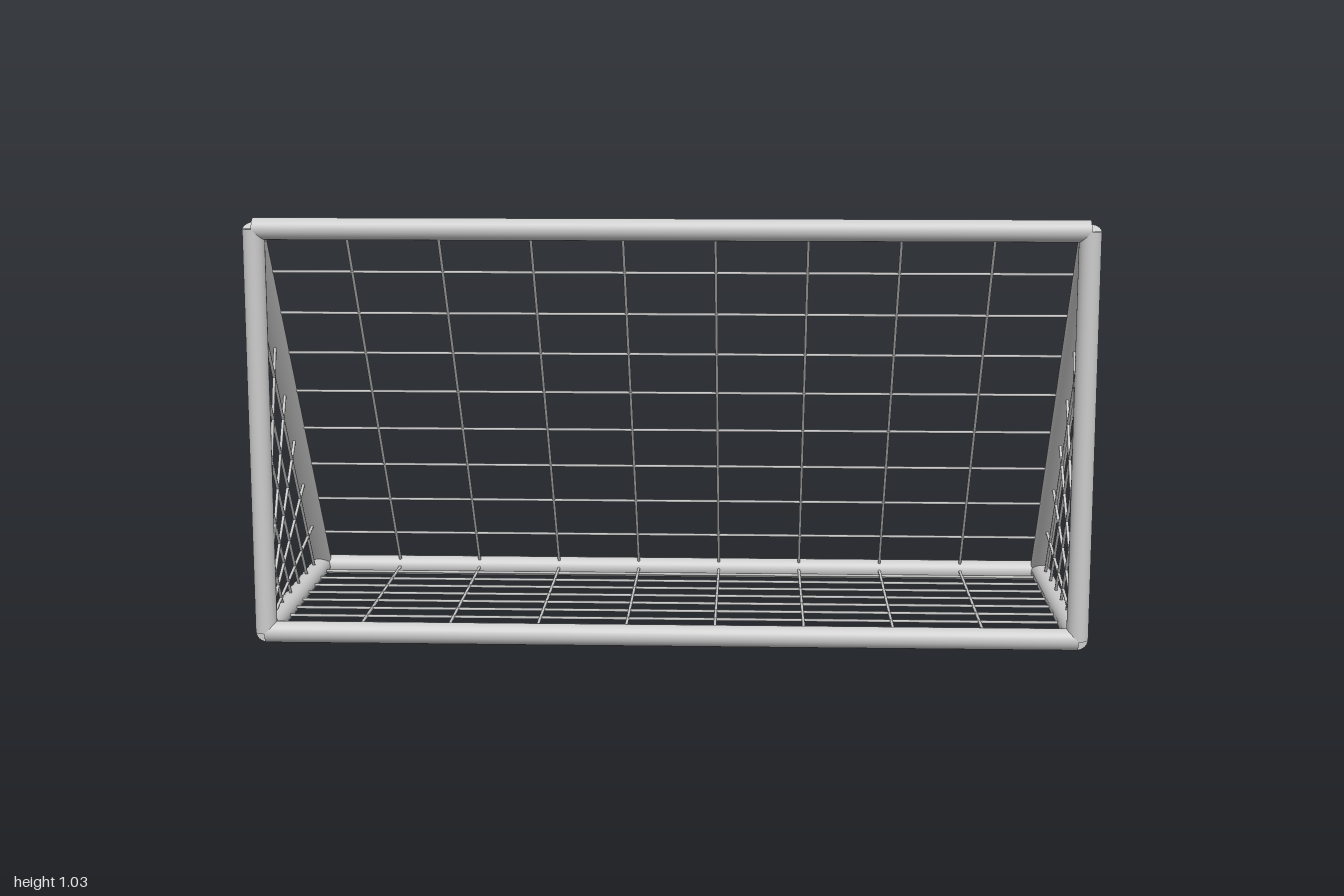
import * as THREE from 'three';

const X = 0.974, Z = 0.34;       // frame centre lines
const LOW = 0.026, HIGH = 1.0;
const BAR = 0.026, CORD = 0.004; // radii

export function createModel() {
  const goal = new THREE.Group();
  goal.name = 'goal';
  const material = new THREE.MeshStandardMaterial({ color: 0xcccccc });

  // Straight round rod between two points
  function rod(parent, name, a, b, radius, sides) {
    const dir = b.clone().sub(a);
    const mesh = new THREE.Mesh(new THREE.CylinderGeometry(radius, radius, dir.length(), sides), material);
    mesh.position.copy(a).add(b).multiplyScalar(0.5);
    mesh.quaternion.setFromUnitVectors(new THREE.Vector3(0, 1, 0), dir.normalize());
    mesh.name = name;
    parent.add(mesh);
  }
  const group = (name) => {
    const g = new THREE.Group();
    g.name = name;
    goal.add(g);
    return g;
  };

  // Corners of the triangular end on side s
  const corners = (s) => ({
    top: new THREE.Vector3(s * X, HIGH, Z),
    front: new THREE.Vector3(s * X, LOW, Z),
    back: new THREE.Vector3(s * X, LOW, -Z),
  });
  const L = corners(1), R = corners(-1);

  // Frame: three long bars and a triangle at each end
  const frame = group('frame');
  rod(frame, 'crossbar', R.top, L.top, BAR, 24);
  rod(frame, 'frontGroundBar', R.front, L.front, BAR, 24);
  rod(frame, 'backGroundBar', R.back, L.back, BAR, 24);
  for (const [side, c] of [['left', L], ['right', R]]) {
    rod(frame, side + 'Post', c.front, c.top, BAR, 24);
    rod(frame, side + 'GroundBar', c.front, c.back, BAR, 24);
    rod(frame, side + 'SlopingBar', c.top, c.back, BAR, 24);
  }

  // Rectangular nets: sloping back and floor
  const cord = (parent, a, b) => rod(parent, 'cord', a, b, CORD, 6);
  const mix = (a, b, t) => a.clone().lerp(b, t);
  for (const [name, edge] of [['backNet', 'top'], ['floorNet', 'front']]) {
    const net = group(name);
    for (let i = 1; i < 9; i++) {
      const t = i / 9;
      cord(net, mix(R[edge], L[edge], t), mix(R.back, L.back, t));
      cord(net, mix(R[edge], R.back, t), mix(L[edge], L.back, t));
    }
  }

  // Side nets: cords parallel to the slope, plus a fan from the front corner
  for (const [name, c] of [['leftNet', L], ['rightNet', R]]) {
    const net = group(name);
    for (let i = 1; i < 7; i++) {
      const t = i / 7;
      cord(net, mix(c.front, c.top, t), mix(c.front, c.back, t));
      cord(net, c.front, mix(c.top, c.back, t));
    }
  }
  return goal;
}
